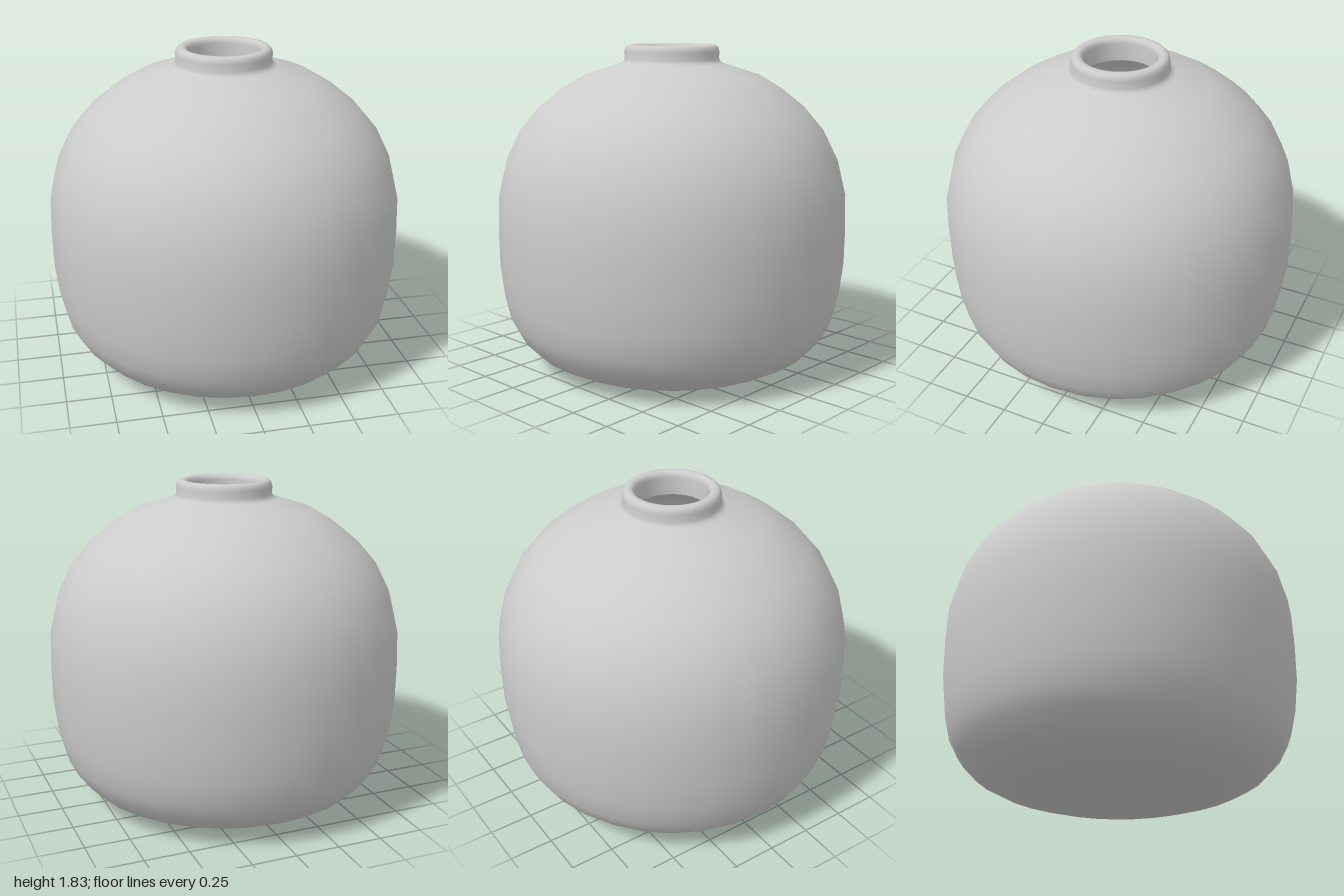
import * as THREE from 'three';

const SEGMENTS = 32;

// Revolve a list of [radius, height] pairs around the y axis
function revolve(name, profile, material) {
  const points = profile.map(([r, y]) => new THREE.Vector2(r, y));
  const mesh = new THREE.Mesh(new THREE.LatheGeometry(points, SEGMENTS), material);
  mesh.name = name;
  return mesh;
}

export function createModel() {
  const group = new THREE.Group();
  group.name = 'vase';
  const material = new THREE.MeshStandardMaterial({ color: 0xcccccc });

  // Rounded belly, from the centre of the base up to the foot of the neck
  const belly = [
    [0, 0], [0.57, 0], [0.71, 0.043], [0.81, 0.097], [0.89, 0.18], [0.943, 0.28],
    [0.975, 0.415], [0.997, 0.6], [1, 0.8], [0.994, 1], [0.946, 1.195],
    [0.866, 1.355], [0.76, 1.48], [0.63, 1.585], [0.498, 1.664], [0.3, 1.727],
  ];

  // Short neck with a rolled lip, over the top and down the inside of the mouth
  const neck = [
    [0.28, 1.735], [0.268, 1.755], [0.27, 1.795], [0.264, 1.817], [0.253, 1.829],
    [0.235, 1.833], [0.218, 1.83], [0.206, 1.82], [0.2, 1.8], [0.2, 1.7],
  ];

  // Hollow inside, following the belly down to the floor
  const cavity = [
    [0.2, 1.7], [0.29, 1.675], [0.475, 1.617], [0.6, 1.543], [0.723, 1.445], [0.823, 1.33],
    [0.898, 1.18], [0.944, 0.99], [0.95, 0.8], [0.947, 0.61], [0.926, 0.43],
    [0.897, 0.3], [0.85, 0.212], [0.78, 0.138], [0.69, 0.09], [0.56, 0.05], [0, 0.05],
  ];

  group.add(revolve('outerBodyAndNeck', [...belly, ...neck], material));
  group.add(revolve('innerCavity', cavity, material));
  return group;
}
